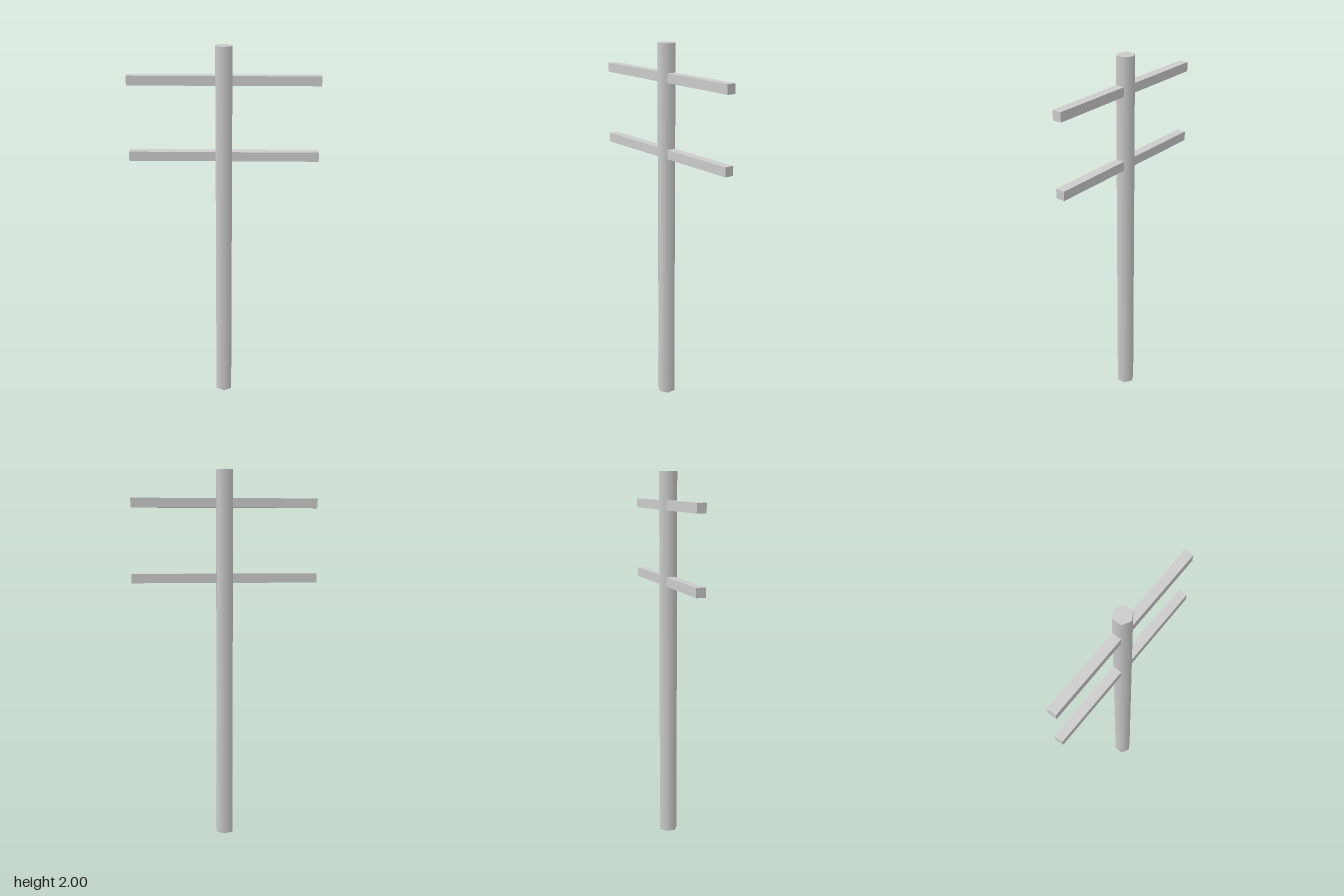
import * as THREE from 'three';

export function createModel() {
  const group = new THREE.Group();
  const material = new THREE.MeshStandardMaterial({ color: 0xcccccc });

  const add = (name, geometry, y) => {
    const mesh = new THREE.Mesh(geometry, material);
    mesh.name = name;
    mesh.position.y = y;
    group.add(mesh);
  };

  // Six-sided pole with corners facing front and back
  add('pole', new THREE.CylinderGeometry(0.05, 0.05, 2, 6), 1);

  // Two square crossarms running through the pole
  add('lowerCrossarm', new THREE.BoxGeometry(1, 0.05, 0.05), 1.425);
  add('upperCrossarm', new THREE.BoxGeometry(1, 0.05, 0.05), 1.825);

  return group;
}
